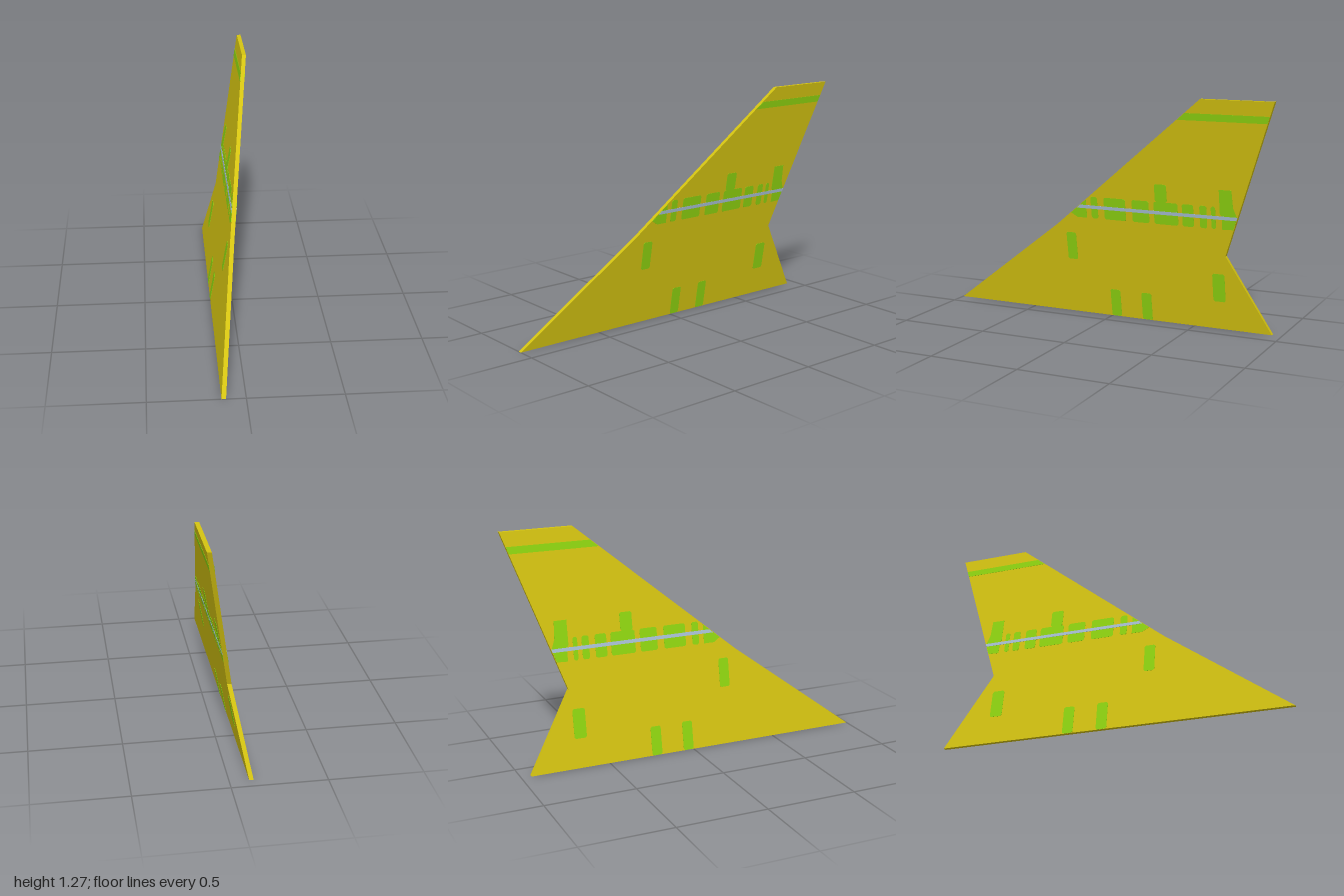
import * as THREE from 'three';

const THICK = 0.023, LEAN = 0.178;

export function createModel() {
  const group = new THREE.Group();
  const material = (name, color) => {
    const m = new THREE.MeshStandardMaterial({ color });
    m.name = name;
    return m;
  };
  const yellow = material('yellow', 0xd4c311);
  const green = material('green', 0x8ed410);
  const blue = material('paleBlue', 0xa8c0d4);

  // Extrudes a [z, y] outline across the fin's thickness and leans it towards +x
  function plate(name, points, mat, raise = 0) {
    const depth = THICK + 2 * raise;
    const shape = new THREE.Shape(points.map(([z, y]) => new THREE.Vector2(z, y)));
    const geo = new THREE.ExtrudeGeometry(shape, { depth, bevelEnabled: false });
    geo.translate(0, 0, -depth / 2).rotateY(-Math.PI / 2);
    const p = geo.attributes.position;
    for (let i = 0; i < p.count; i++) {
      p.setX(i, p.getX(i) + (p.getY(i) - 0.6375) * LEAN);
    }
    geo.computeVertexNormals();
    const mesh = new THREE.Mesh(geo, mat);
    mesh.name = name;
    group.add(mesh);
  }

  // Rectangle with clipped corners
  const patch = (z0, z1, y0, y1, c = 0.008) => [
    [z0 + c, y0], [z1 - c, y0], [z1, y0 + c], [z1, y1 - c],
    [z1 - c, y1], [z0 + c, y1], [z0, y1 - c], [z0, y0 + c],
  ];

  // Swept fin with a notched trailing edge
  plate('fin', [
    [1, 0], [0.3, 0.525], [-0.6, 1.275], [-1, 1.275], [-0.7, 0.425], [-0.945, 0],
  ], yellow);

  // Stripe near the tip
  plate('tipStripe', [
    [-0.465, 1.16], [-0.511, 1.198], [-0.972, 1.198], [-0.958, 1.16],
  ], green, 0.0015);

  // Painted patches, shown on both faces: z from, z to, y from, y to
  const patches = [
    [0.19, 0.25, 0.32, 0.48], [-0.06, 0, 0.001, 0.16], [-0.25, -0.19, 0.001, 0.16],
    [-0.69, -0.62, 0.16, 0.32],
    [0.04, 0.08, 0.575, 0.7], [-0.13, 0, 0.575, 0.7], [-0.27, -0.17, 0.575, 0.7],
    [-0.44, -0.3, 0.575, 0.7], [-0.38, -0.31, 0.7, 0.8], [-0.53, -0.465, 0.575, 0.7],
    [-0.605, -0.565, 0.575, 0.7], [-0.655, -0.63, 0.575, 0.7],
  ];
  for (const r of patches) plate('patch', patch(...r), green, 0.0015);
  plate('leadingPatch', [[0.11, 0.575], [0.17, 0.575], [0.208, 0.599], [0.11, 0.68]], green, 0.0015);
  plate('trailingPatch', [
    [-0.69, 0.575], [-0.69, 0.65], [-0.68, 0.66], [-0.68, 0.795], [-0.75, 0.795],
    [-0.755, 0.7], [-0.775, 0.645], [-0.752, 0.578],
  ], green, 0.0015);

  // Pale line across the middle
  plate('middleLine', [[0.168, 0.63], [0.148, 0.649], [-0.778, 0.649], [-0.771, 0.63]], blue, 0.0025);

  return group;
}
